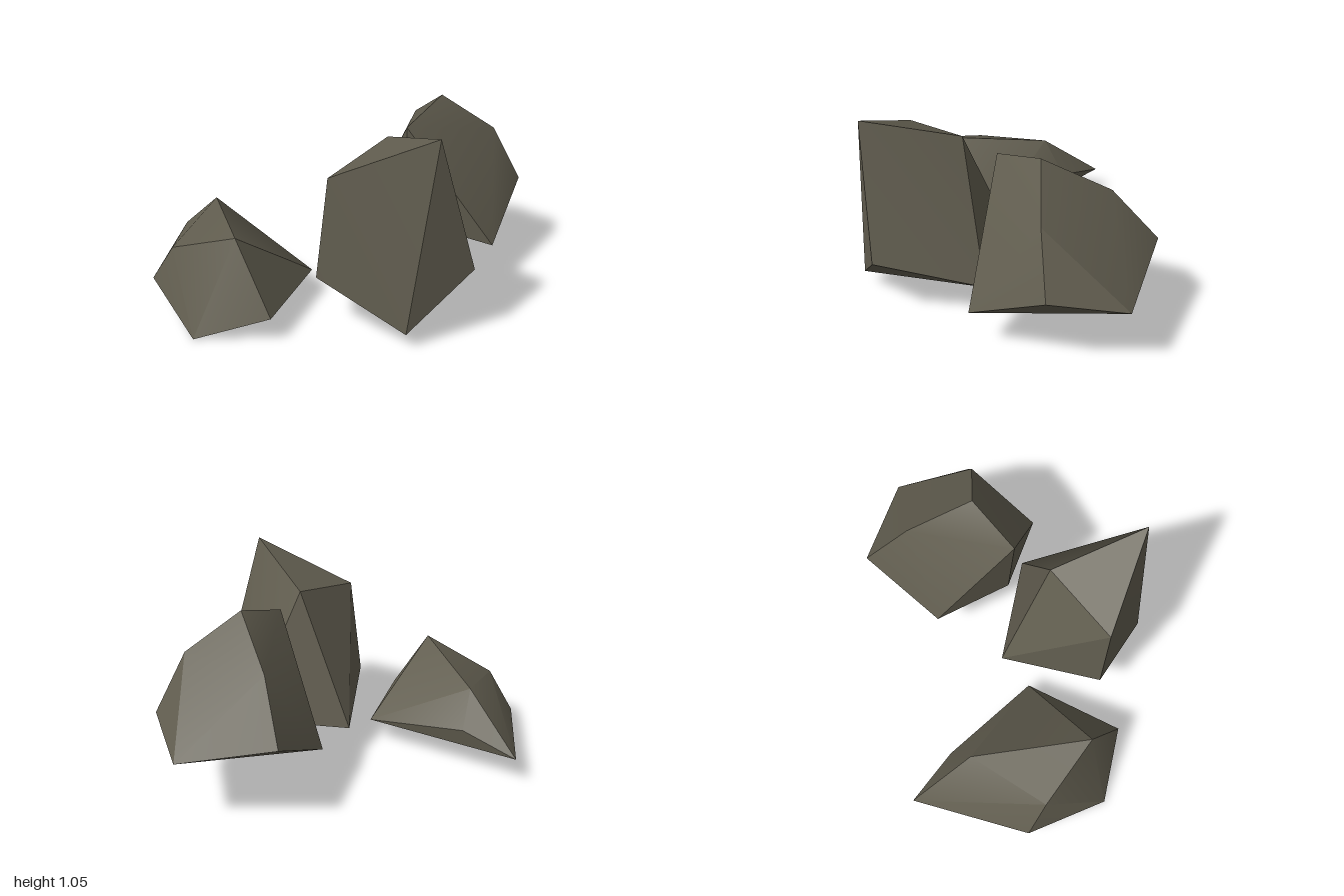
import * as THREE from 'three';
import { ConvexGeometry } from 'three/addons/geometries/ConvexGeometry.js';
import { toCreasedNormals } from 'three/addons/utils/BufferGeometryUtils.js';

// Corner points of each boulder; its faces are the convex hull around them
const boulders = {
  flatBoulder: [
    [-0.9, 0.15, 0.21], [-0.59, 0.24, 0.215], [0, 0.13, 0.28], [0.12, 0.13, 0.815], [-0.22, 0, 0.995],
    [-0.64, 0.13, 0.795], [-0.57, 0.43, 0.34], [-0.11, 0.485, 0.775], [-0.5, 0.34, 0.79],
  ],
  tallBoulder: [
    [0.78, 1.05, 0.38], [0.9, 0.355, 0.215], [0.7, 0.08, 0.52], [0.28, 0.81, 0.555],
    [0.23, 0.285, 0.585], [0.345, 0.89, 0.11], [0.525, 0.21, -0.195], [0.02, 0.165, 0.07],
  ],
  rearBoulder: [
    [0.365, 0.96, -0.42], [0.33, 0.865, -0.11], [0.39, 0.36, -1], [0.695, 0.45, -0.735], [0.755, 0.23, -0.3],
    [-0.085, 0.466, -0.805], [-0.05, 0.245, -0.335], [0.09, 0.755, -0.64], [0.585, 0.76, -0.61], [0.33, 0.33, -0.14],
  ],
};

export function createModel() {
  const group = new THREE.Group();
  group.name = 'boulders';

  const stone = new THREE.MeshStandardMaterial({ color: 0x615d4f });
  stone.name = 'stone';

  for (const [name, corners] of Object.entries(boulders)) {
    const hull = new ConvexGeometry(corners.map((p) => new THREE.Vector3(...p)));
    // Shallow bends blend softly, real edges stay sharp
    const mesh = new THREE.Mesh(toCreasedNormals(hull, 0.5), stone);
    mesh.name = name;
    group.add(mesh);
  }
  return group;
}
